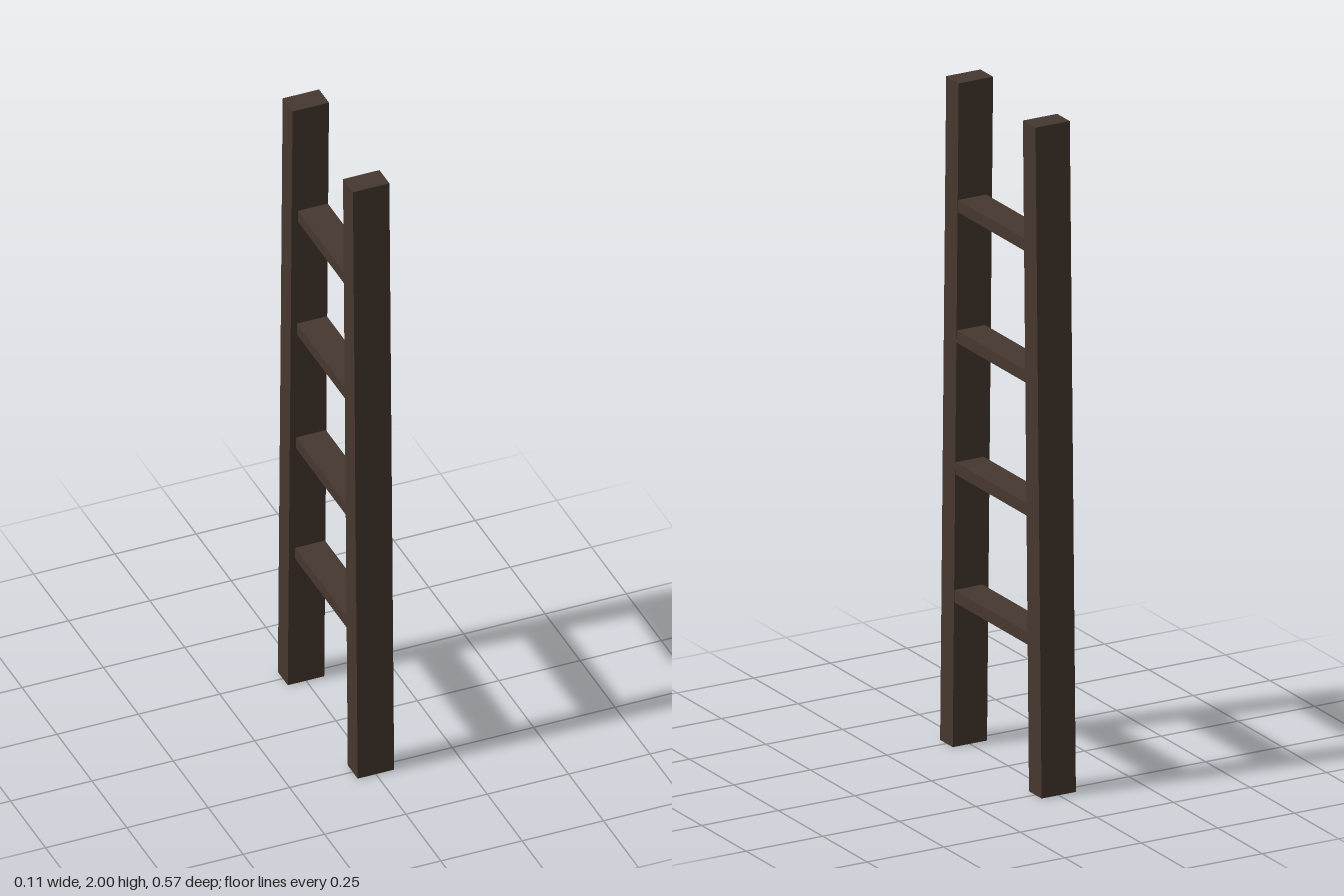
import * as THREE from 'three';

export function createModel() {
  const group = new THREE.Group();
  const wood = new THREE.MeshStandardMaterial({ color: 0x46382f });
  wood.name = 'darkWood';

  const height = 2, railWidth = 0.112, railDepth = 0.071;
  const bottomZ = 0.25, topZ = 0.216;
  const railZ = (y) => THREE.MathUtils.lerp(bottomZ, topZ, y / height);

  const add = (geometry, name) => {
    const mesh = new THREE.Mesh(geometry, wood);
    mesh.name = name;
    group.add(mesh);
  };

  // Side rails: upright boxes sheared inward so the ends stay level
  for (const side of [1, -1]) {
    const rail = new THREE.BoxGeometry(railWidth, height, railDepth);
    rail.translate(0, height / 2, 0);
    const p = rail.attributes.position;
    for (let i = 0; i < p.count; i++) p.setZ(i, p.getZ(i) + side * railZ(p.getY(i)));
    rail.computeVertexNormals();
    add(rail, side > 0 ? 'frontRail' : 'backRail');
  }

  // Flat rungs, nearly flush with the +x side and let into both rails
  [0.455, 0.84, 1.237, 1.63].forEach((y, i) => {
    const rung = new THREE.BoxGeometry(0.092, 0.037, 2 * (railZ(y) - railDepth / 2 + 0.01));
    rung.translate(0.009, y, 0);
    add(rung, `rung${i + 1}`);
  });

  return group;
}
